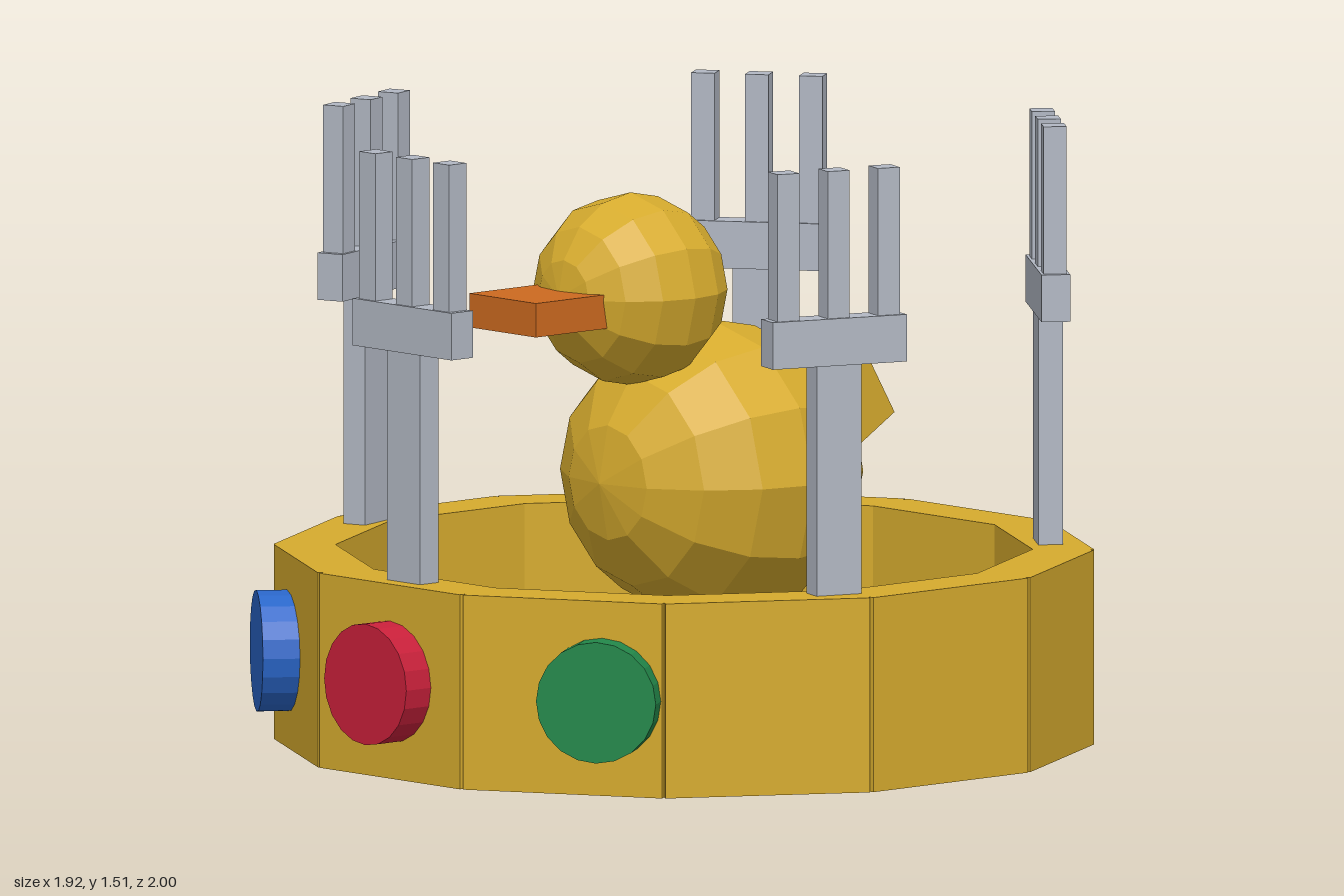
import * as THREE from 'three';

const mat = (name, color) => {
  const m = new THREE.MeshStandardMaterial({ color, flatShading: true });
  m.name = name;
  return m;
};

export function createModel() {
  const gold = mat('gold', 0xd6ab2e);
  const silver = mat('silver', 0xb2b8c3);
  const red = mat('red', 0xc8203a);
  const blue = mat('blue', 0x2a66c8);
  const green = mat('green', 0x23884a);
  const orange = mat('orange', 0xcc6a20);

  const root = new THREE.Group();
  root.name = 'crown';
  const CZ = -0.04; // ring centre along z

  const add = (parent, name, geo, material, x, y, z) => {
    const mesh = new THREE.Mesh(geo, material);
    mesh.name = name;
    mesh.position.set(x, y, z);
    parent.add(mesh);
    return mesh;
  };
  const box = (w, h, d) => new THREE.BoxGeometry(w, h, d);

  // Turned group on the ring: its local +z points outward
  const spoke = (name, angle) => {
    const g = new THREE.Group();
    g.name = name;
    g.position.z = CZ;
    g.rotation.y = angle;
    root.add(g);
    return g;
  };

  // Band of twelve overlapping blocks
  const band = box(0.505, 0.475, 0.145);
  for (let i = 0; i < 12; i++) {
    add(spoke('bandSegment', (i * Math.PI) / 6), 'bandBlock', band, gold, 0, 0.2375, 0.8875);
  }

  // Five upright forks
  for (let i = 0; i < 5; i++) {
    const fork = spoke('fork', (i * Math.PI * 2) / 5);
    const r = 0.885;
    add(fork, 'forkHandle', box(0.118, 0.64, 0.06), silver, 0, 0.72, r);
    add(fork, 'forkHead', box(0.355, 0.115, 0.07), silver, 0, 1.093, r);
    for (const x of [-0.133, 0, 0.133]) {
      add(fork, 'forkTine', box(0.058, 0.37, 0.056), silver, x, 1.325, r);
    }
  }

  // Round gems on the front
  const gem = new THREE.CylinderGeometry(0.148, 0.148, 0.09, 20).rotateX(Math.PI / 2);
  [[-1, blue], [0, red], [1, green]].forEach(([k, m]) => {
    add(spoke('gem', (k * Math.PI) / 5), 'gemDisc', gem, m, 0, 0.237, 0.995);
  });

  // Bird in the middle, its sphere poles along z
  const bird = new THREE.Group();
  bird.name = 'bird';
  root.add(bird);
  const ball = (r) => new THREE.SphereGeometry(r, 12, 8).rotateX(Math.PI / 2);
  add(bird, 'body', ball(0.367), gold, 0, 0.655, -0.13);
  add(bird, 'head', ball(0.235), gold, 0, 1.122, 0.135);
  add(bird, 'beak', box(0.24, 0.083, 0.25), orange, 0, 1.096, 0.427);
  add(bird, 'tail', box(0.24, 0.17, 0.136), gold, 0, 0.8, -0.516).rotation.x = 0.54;

  return root;
}
